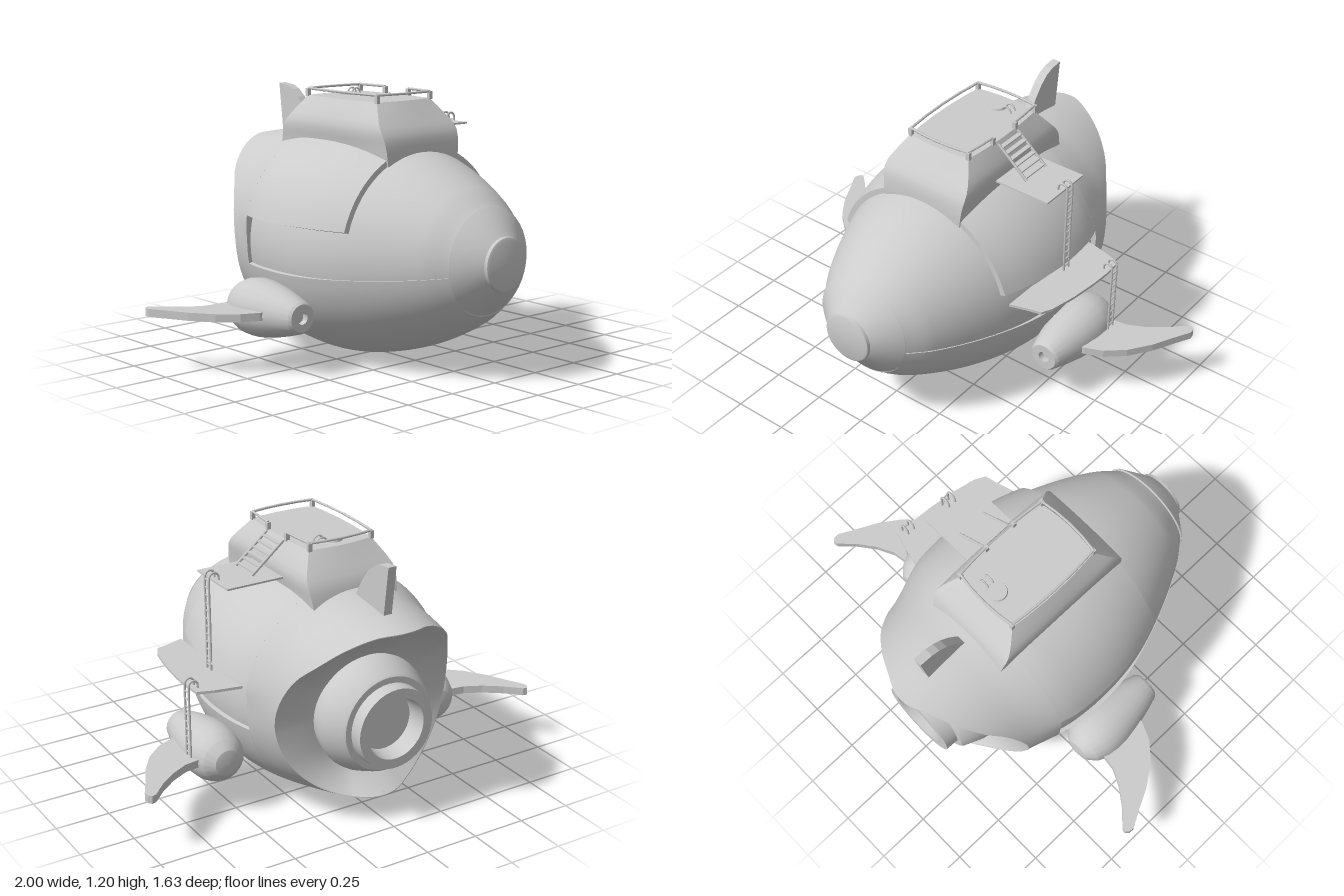
import * as THREE from 'three';
import { toCreasedNormals } from 'three/addons/utils/BufferGeometryUtils.js';
import { ParametricGeometry } from 'three/addons/geometries/ParametricGeometry.js';

const V = (x, y, z) => new THREE.Vector3(x, y, z);
const { clamp, lerp, smoothstep } = THREE.MathUtils;
const material = new THREE.MeshStandardMaterial({ color: 0xcccccc, side: THREE.DoubleSide });

// Smooth interpolation through [key, value] pairs with descending keys
function curve(pairs) {
  const slope = i => {
    const a = pairs[Math.max(i - 1, 0)], b = pairs[Math.min(i + 1, pairs.length - 1)];
    return (b[1] - a[1]) / (b[0] - a[0]);
  };
  return k => {
    let i = 0;
    while (i < pairs.length - 2 && k < pairs[i + 1][0]) i++;
    const [k0, v0] = pairs[i], [k1, v1] = pairs[i + 1], h = k1 - k0;
    const t = clamp((k - k0) / h, 0, 1), t2 = t * t, t3 = t2 * t;
    return v0 * (2 * t3 - 3 * t2 + 1) + v1 * (3 * t2 - 2 * t3) + slope(i) * h * (t3 - 2 * t2 + t) + slope(i + 1) * h * (t3 - t2);
  };
}

// Hull radius, width factor and axis height along z, and the swept rear rim by sine of the angle
const radius = curve([[0.7, 0.235], [0.6, 0.31], [0.4, 0.407], [0.2, 0.467], [0, 0.498], [-0.2, 0.497], [-0.4, 0.475], [-0.6, 0.44], [-0.85, 0.38]]);
const width = curve([[0.7, 0.98], [0.4, 0.99], [0.1, 1.03], [-0.25, 1.03], [-0.5, 0.96], [-0.85, 0.94]]);
const axis = curve([[0.7, 0.52], [0.4, 0.515], [0, 0.503], [-0.2, 0.508], [-0.4, 0.52], [-0.6, 0.5375], [-0.85, 0.555]]);
const rim = curve([[1, -0.815], [0.95, -0.775], [0.8, -0.715], [0.6, -0.645], [0.4, -0.565], [0.1, -0.505], [-0.15, -0.49], [-0.5, -0.51], [-0.75, -0.55], [-0.92, -0.61], [-1, -0.675]]);

function hullPoint(z, a, inset, target) {
  const r = radius(z) - inset;
  return target.set(width(z) * r * Math.cos(a), axis(z) + r * Math.sin(a), z);
}

// The upper plating stands proud of the hull line
const proud = (z, a) => 0.02 * smoothstep(Math.sin(a), 0, 0.25) * smoothstep(z, -0.52, -0.25);

// Angle at which the hull side reaches height y
const angleAt = (y, z) => Math.asin((y - axis(z)) / radius(z));
const lowerLine = z => angleAt(0.42 + 0.06 * Math.max(0, (z + 0.1) / 0.8) ** 2, z);
const upperLine = z => angleAt(0.637, z);

export function createModel() {
  const group = new THREE.Group();

  function add(name, geometry, parent = group) {
    const mesh = new THREE.Mesh(geometry, material);
    mesh.name = name;
    parent.add(mesh);
    return mesh;
  }
  function subgroup(name) {
    const g = new THREE.Group();
    g.name = name;
    group.add(g);
    return g;
  }
  function box(name, w, h, d, x, y, z, parent = group) {
    add(name, new THREE.BoxGeometry(w, h, d), parent).position.set(x, y, z);
  }
  function bar(name, a, b, r, parent) {
    const mesh = add(name, new THREE.CylinderGeometry(r, r, a.distanceTo(b), 6), parent);
    mesh.position.copy(a).add(b).multiplyScalar(0.5);
    mesh.quaternion.setFromUnitVectors(V(0, 1, 0), b.clone().sub(a).normalize());
  }
  // Lathe around the z axis; points are [radius, z]
  function turned(name, points, segments, x, y) {
    const g = new THREE.LatheGeometry(points.map(p => new THREE.Vector2(...p)), segments).rotateX(Math.PI / 2);
    add(name, toCreasedNormals(g, 0.45)).position.set(x, y, 0);
  }
  // Hull plate whose borders fold inward to give it thickness
  function plate(name, nz, na, zStart, zEnd, a0, a1, endDepth = 0.022) {
    const inner = (t, n) => (clamp(Math.round(t * (n + 2)), 1, n + 1) - 1) / n;
    const edge = t => t < 1e-6 || t > 1 - 1e-6;
    const g = new ParametricGeometry((u, v, target) => {
      const s = inner(u, nz), t = inner(v, na);
      const zMid = lerp(zStart, zEnd(0), s);
      const a = lerp(a0(zMid), a1(zMid), t);
      const z = lerp(zStart, zEnd(a), s);
      const depth = u > 1 - 1e-6 ? endDepth : 0.022;
      hullPoint(z, a, edge(u) || edge(v) ? depth : -proud(z, a), target);
    }, nz + 2, na + 2);
    add(name, toCreasedNormals(g, 0.6));
  }

  // Hull: canopy and recessed side panels, framed by thick outer plates
  add('canopy', new ParametricGeometry((u, v, t) => {
    const z = 0.7 - 1.08 * u;
    return hullPoint(z, v * 2 * Math.PI, lerp(0.018, 0.005, smoothstep(z, -0.1, 0.3)), t);
  }, 30, 64));
  plate('lowerHull', 24, 40, 0.7, () => -0.34, z => -Math.PI - lowerLine(z), lowerLine);
  plate('upperHull', 16, 32, 0.29, () => -0.34, upperLine, z => Math.PI - upperLine(z));
  plate('rearHull', 12, 80, -0.34, a => rim(Math.sin(a)), () => -Math.PI / 2, () => Math.PI * 1.5, 0.004);

  // Concave dish from the swept rim to the engine
  const p = V(0, 0, 0);
  add('rearDish', new ParametricGeometry((u, v, t) => {
    const a = v * 2 * Math.PI - Math.PI / 2;
    hullPoint(rim(Math.sin(a)), a, 0.004, p);
    t.copy(p).lerp(V(0.2 * Math.cos(a), 0.475 + 0.2 * Math.sin(a), -0.5), u);
    t.z = lerp(p.z, -0.5, 1 - (1 - u) ** 1.5);
  }, 10, 80));

  // Nose and engine
  turned('nose', [[0.2, 0.68], [0.235, 0.7], [0.232, 0.705], [0.125, 0.79], [0.118, 0.796], [0.115, 0.81], [0.103, 0.815], [0, 0.815]], 40, 0, 0.525);
  turned('engine', [[0.25, -0.48], [0.267, -0.56], [0.262, -0.59], [0.225, -0.68], [0.215, -0.69], [0.187, -0.69], [0.184, -0.75], [0.14, -0.75], [0.13, -0.66], [0, -0.66]], 40, 0, 0.475);

  // Tower: a box whose vertices flare downward and bulge mid-side
  const halfX = curve([[1.165, 0.172], [1.11, 0.203], [1.05, 0.226], [0.97, 0.214], [0.9, 0.205]]);
  const front = curve([[1.165, 0.185], [1.1, 0.235], [1.03, 0.285], [0.97, 0.296], [0.9, 0.298]]);
  const back = curve([[1.165, -0.32], [1.1, -0.365], [1.03, -0.41], [0.9, -0.44]]);
  function towerPoint(x, y, z) {
    const b = 0.015 * clamp((y - 0.95) / 0.2, 0, 1);
    const zc = (front(y) + back(y)) / 2, zh = (front(y) - back(y)) / 2;
    return V(x * (halfX(y) - b * z * z), y, zc + z * (zh - b * x * x));
  }
  const tower = new THREE.BoxGeometry(2, 0.265, 2, 8, 10, 8).translate(0, 1.0325, 0);
  const pos = tower.attributes.position;
  for (let i = 0; i < pos.count; i++) {
    const q = towerPoint(pos.getX(i), pos.getY(i), pos.getZ(i));
    pos.setXYZ(i, q.x, q.y, q.z);
  }
  add('tower', toCreasedNormals(tower, 0.5));

  // Deck railing, open at the stairs
  const railing = subgroup('railing');
  const outline = [[1, 0.35], [1, 0.65], [1, 1], [0.5, 1], [0, 1], [-0.5, 1], [-1, 1], [-1, 0.5], [-1, 0], [-1, -0.5], [-1, -1], [-0.5, -1], [0, -1], [0.5, -1], [1, -1], [1, -0.65], [1, -0.32]]
    .map(([x, z]) => towerPoint(x * 0.97, 1.16, z * 0.98));
  outline.forEach((q, i) => {
    const top = q.clone().setY(1.196);
    if (i) bar('handrail', outline[i - 1].clone().setY(1.196), top, 0.006, railing);
    if ([0, 2, 6, 10, 14, 16].includes(i)) box('post', 0.018, 0.036, 0.018, q.x, 1.178, q.z, railing);
  });

  // Hatch with handles
  const hatch = add('hatch', new THREE.CylinderGeometry(0.042, 0.046, 0.012, 20));
  hatch.position.set(0, 1.168, -0.24);
  for (const z of [-0.255, -0.225]) {
    const handle = add('hatchHandle', new THREE.TorusGeometry(0.024, 0.004, 6, 12, Math.PI));
    handle.position.set(0.062, 1.165, z);
  }

  // Stairs down to the landing
  const stairs = subgroup('stairs');
  for (const z of [-0.14, 0]) bar('stringer', V(0.185, 1.165, z), V(0.34, 1.035, z), 0.007, stairs);
  for (let i = 0; i < 6; i++) box('tread', 0.022, 0.006, 0.14, 0.2 + i * 0.025, 1.15 - i * 0.021, -0.07, stairs);
  box('landing', 0.3, 0.008, 0.265, 0.345, 1.02, -0.068);

  // Flat outline in x/z extruded upward
  function slab(name, points, y, h) {
    const shape = new THREE.Shape(points.map(([x, z]) => new THREE.Vector2(x, -z)));
    const g = new THREE.ExtrudeGeometry(shape, { depth: h, bevelEnabled: false }).rotateX(-Math.PI / 2);
    add(name, g).position.y = y;
  }
  slab('sidePlatform', [[0.47, 0.29], [0.55, 0.265], [0.61, 0.25], [0.635, 0.2], [0.66, 0.08], [0.675, -0.05], [0.68, -0.15], [0.675, -0.24], [0.6, -0.265], [0.48, -0.29]], 0.597, 0.012);

  // Hooked ladders
  function ladder(name, x, z, bottom, top, hookX) {
    const g = subgroup(name), r = (x - hookX) / 2;
    for (const side of [-0.018, 0.018]) {
      const path = [V(x, bottom, z + side), V(x, (top + bottom) / 2, z + side)];
      for (let i = 0; i <= 6; i++) {
        const a = i * Math.PI / 6;
        path.push(V(hookX + r + r * Math.cos(a), top - r + r * Math.sin(a), z + side));
      }
      path.push(V(hookX, top - 0.045, z + side));
      add('ladderRail', new THREE.TubeGeometry(new THREE.CatmullRomCurve3(path, false, 'centripetal'), 40, 0.005, 6), g);
    }
    for (let y = bottom + 0.02; y < top - r; y += 0.036) bar('rung', V(x, y, z - 0.018), V(x, y, z + 0.018), 0.004, g);
  }
  ladder('upperLadder', 0.518, -0.065, 0.61, 1.06, 0.472);
  ladder('lowerLadder', 0.692, -0.185, 0.285, 0.645, 0.65);

  // Side pods with swept fins
  const finShape = [[0.56, 0.02], [0.68, 0.005], [0.76, -0.03], [0.84, -0.1], [0.91, -0.2], [0.965, -0.31], [1, -0.375], [0.998, -0.4], [0.985, -0.415], [0.965, -0.41], [0.9, -0.345], [0.82, -0.285], [0.74, -0.245], [0.56, -0.22]];
  for (const s of [1, -1]) {
    turned('pod', [[0, 0.12], [0.027, 0.12], [0.027, 0.15], [0.062, 0.15], [0.072, 0.138], [0.095, 0.06], [0.115, -0.02], [0.128, -0.1], [0.13, -0.16], [0.122, -0.215], [0.1, -0.262], [0.06, -0.298], [0, -0.312]], 20, s * 0.563, 0.265);
    slab('sideFin', finShape.map(([x, z]) => [s * x, z]), 0.247, 0.036);
  }

  // Tail fin
  const tail = new THREE.Shape([[0.44, 0.96], [0.47, 1.015], [0.51, 1.08], [0.55, 1.13], [0.59, 1.163], [0.63, 1.18], [0.693, 1.187], [0.68, 1.08], [0.665, 0.95]].map(q => new THREE.Vector2(...q)));
  const tailGeometry = new THREE.ExtrudeGeometry(tail, { depth: 0.04, bevelEnabled: false });
  add('tailFin', tailGeometry.translate(0, 0, -0.02).rotateY(Math.PI / 2));

  return group;
}
